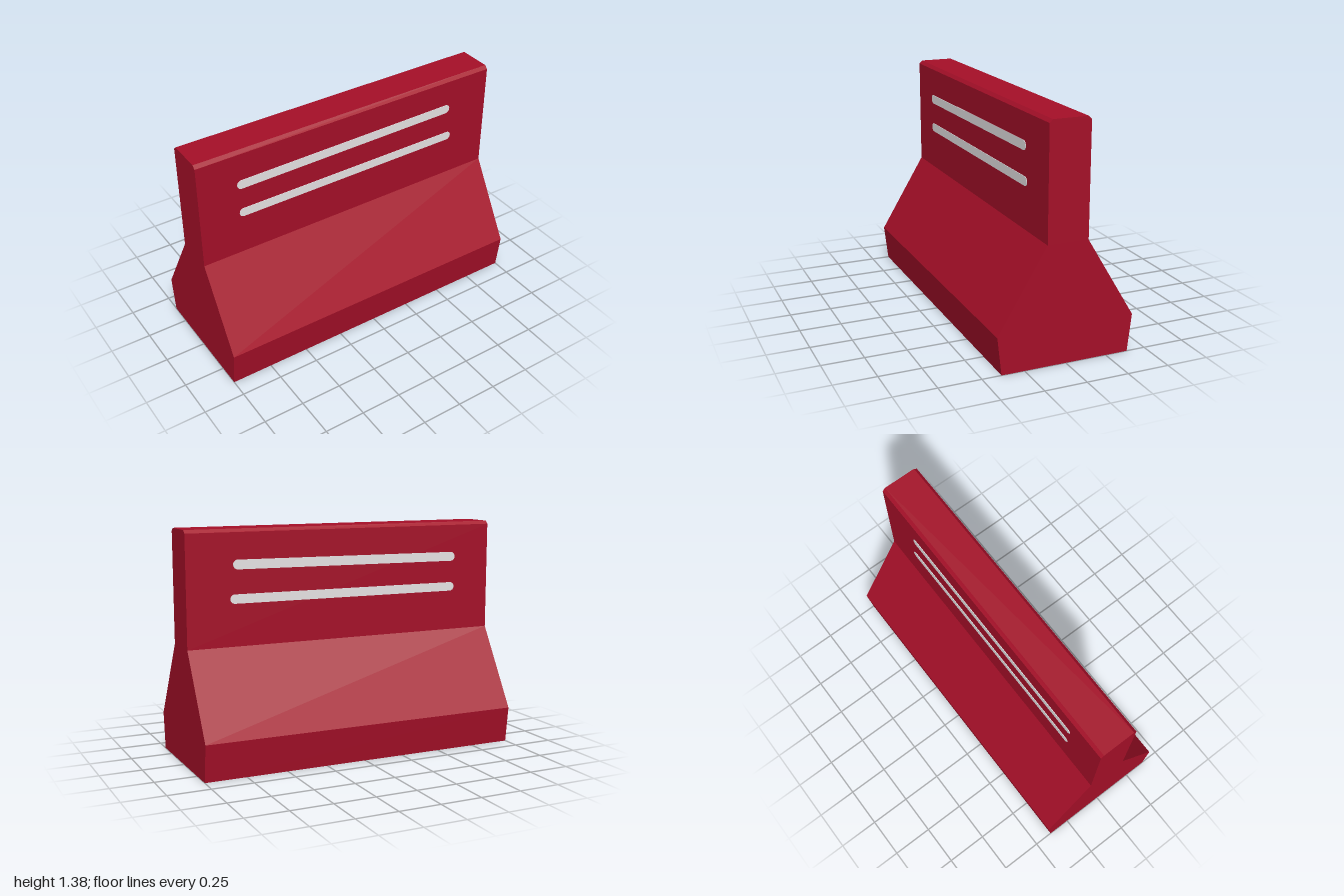
import * as THREE from 'three';

const HALF_WALL = 0.122;

export function createModel() {
  const group = new THREE.Group();
  group.name = 'roadBarrier';
  const red = new THREE.MeshStandardMaterial({ name: 'barrierRed', color: 0xa50f28 });
  const white = new THREE.MeshStandardMaterial({ name: 'stripeWhite', color: 0xeae6e8 });

  // Symmetric cross-section: flared foot, sloped shoulder, upright wall, bevelled top
  const side = [[0.386, 0], [0.411, 0.222], [HALF_WALL, 0.702], [HALF_WALL, 1.362], [0.103, 1.381]];
  const outline = [...side, ...side.map(([z, y]) => [-z, y]).reverse()];
  const profile = new THREE.Shape(outline.map(([z, y]) => new THREE.Vector2(z, y)));
  const bodyGeometry = new THREE.ExtrudeGeometry(profile, { depth: 2, bevelEnabled: false });
  bodyGeometry.translate(0, 0, -1).rotateY(-Math.PI / 2);
  const body = new THREE.Mesh(bodyGeometry, red);
  body.name = 'barrierBody';
  group.add(body);

  // Round-ended stripe as a thin plate between two end centres
  function stripe(name, x0, y0, x1, y1, radius, face) {
    const half = Math.hypot(x1 - x0, y1 - y0) / 2;
    const shape = new THREE.Shape();
    shape.absarc(half, 0, radius, -Math.PI / 2, Math.PI / 2, false);
    shape.absarc(-half, 0, radius, Math.PI / 2, Math.PI * 1.5, false);
    const thickness = 0.004;
    const geometry = new THREE.ExtrudeGeometry(shape, { depth: thickness, bevelEnabled: false, curveSegments: 8 });
    geometry.translate(0, 0, -thickness / 2);
    const mesh = new THREE.Mesh(geometry, white);
    mesh.name = name;
    mesh.position.set((x0 + x1) / 2, (y0 + y1) / 2, face * (HALF_WALL + 0.001));
    mesh.rotation.z = Math.atan2(y1 - y0, x1 - x0);
    group.add(mesh);
  }

  // The same slightly uneven pair on both wall faces
  for (const [label, face] of [['front', 1], ['back', -1]]) {
    stripe(label + 'UpperStripe', -0.73, 1.165, 0.69, 1.177, 0.028, face);
    stripe(label + 'LowerStripe', -0.727, 0.975, 0.711, 0.979, 0.027, face);
  }
  return group;
}
